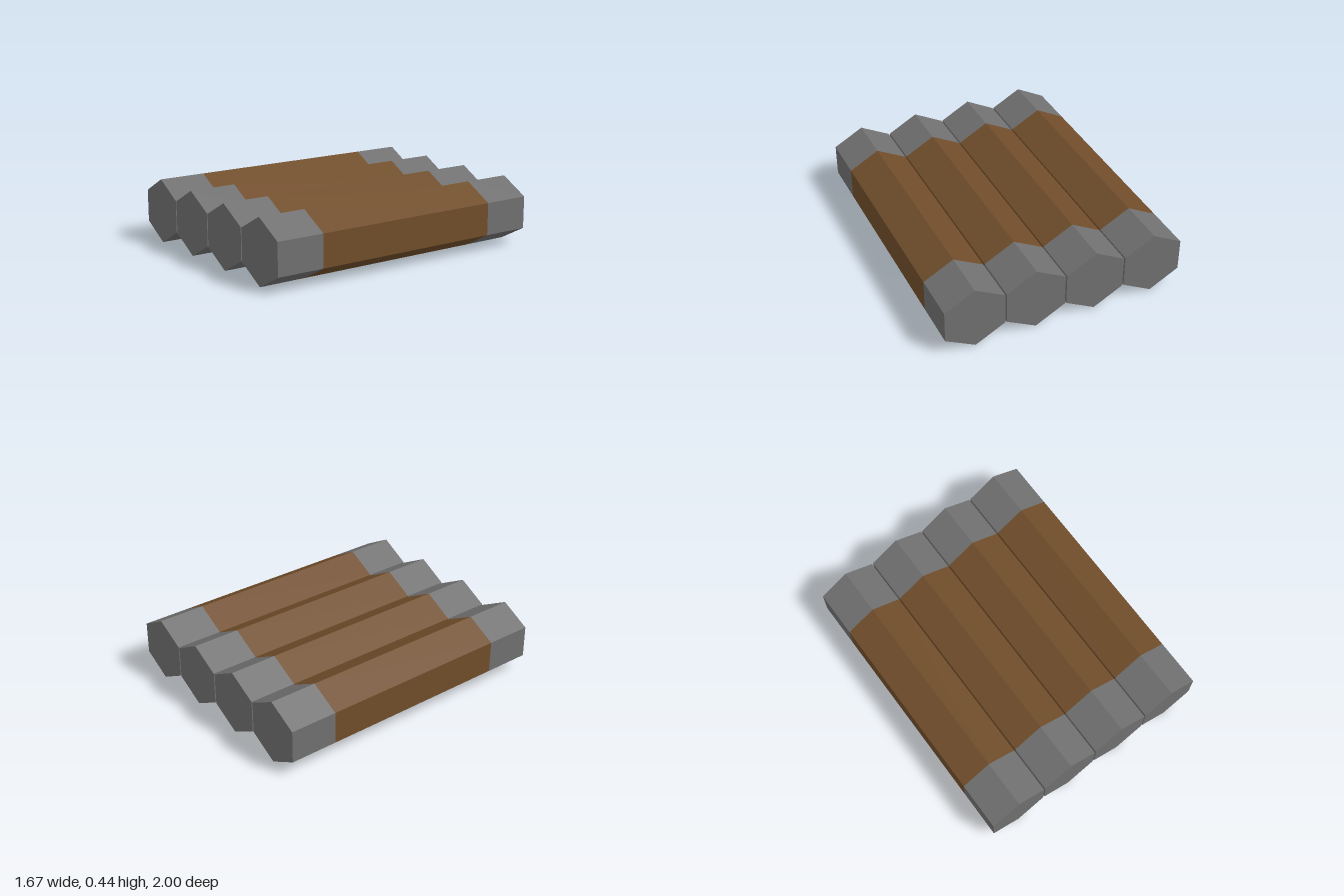
import * as THREE from 'three';

const RX = 0.205;   // half width across the flats
const RY = 0.222;   // half height across the points
const HALF = 1;     // half length of a bar
const BAND = 0.67;  // half length of the brown middle

// Hexagonal prism along z, point up, with flat-shaded faces
function hexPrism(length, open) {
  const g = new THREE.CylinderGeometry(1, 1, length, 6, 1, open);
  g.rotateX(Math.PI / 2);
  g.scale(RX / Math.cos(Math.PI / 6), RY, 1);
  const flat = g.toNonIndexed();
  flat.computeVertexNormals();
  return flat;
}

export function createModel() {
  const grey = new THREE.MeshStandardMaterial({ color: 0x707070 });
  grey.name = 'grey metal';
  const brown = new THREE.MeshStandardMaterial({ color: 0x704d2a });
  brown.name = 'brown wrap';

  const wrapGeometry = hexPrism(BAND * 2, true);
  const endGeometry = hexPrism(HALF - BAND, false);

  const model = new THREE.Group();
  model.name = 'hexagonalBars';

  // Four bars side by side with narrow gaps
  for (let i = 0; i < 4; i++) {
    const bar = new THREE.Group();
    bar.name = `bar${i + 1}`;
    bar.position.set((i - 1.5) * 0.42, RY, 0);

    const wrap = new THREE.Mesh(wrapGeometry, brown);
    wrap.name = 'middleWrap';
    bar.add(wrap);

    // Grey ends, front and back
    for (const side of [1, -1]) {
      const end = new THREE.Mesh(endGeometry, grey);
      end.name = side > 0 ? 'frontEnd' : 'backEnd';
      end.position.z = side * (HALF + BAND) / 2;
      bar.add(end);
    }
    model.add(bar);
  }
  return model;
}
